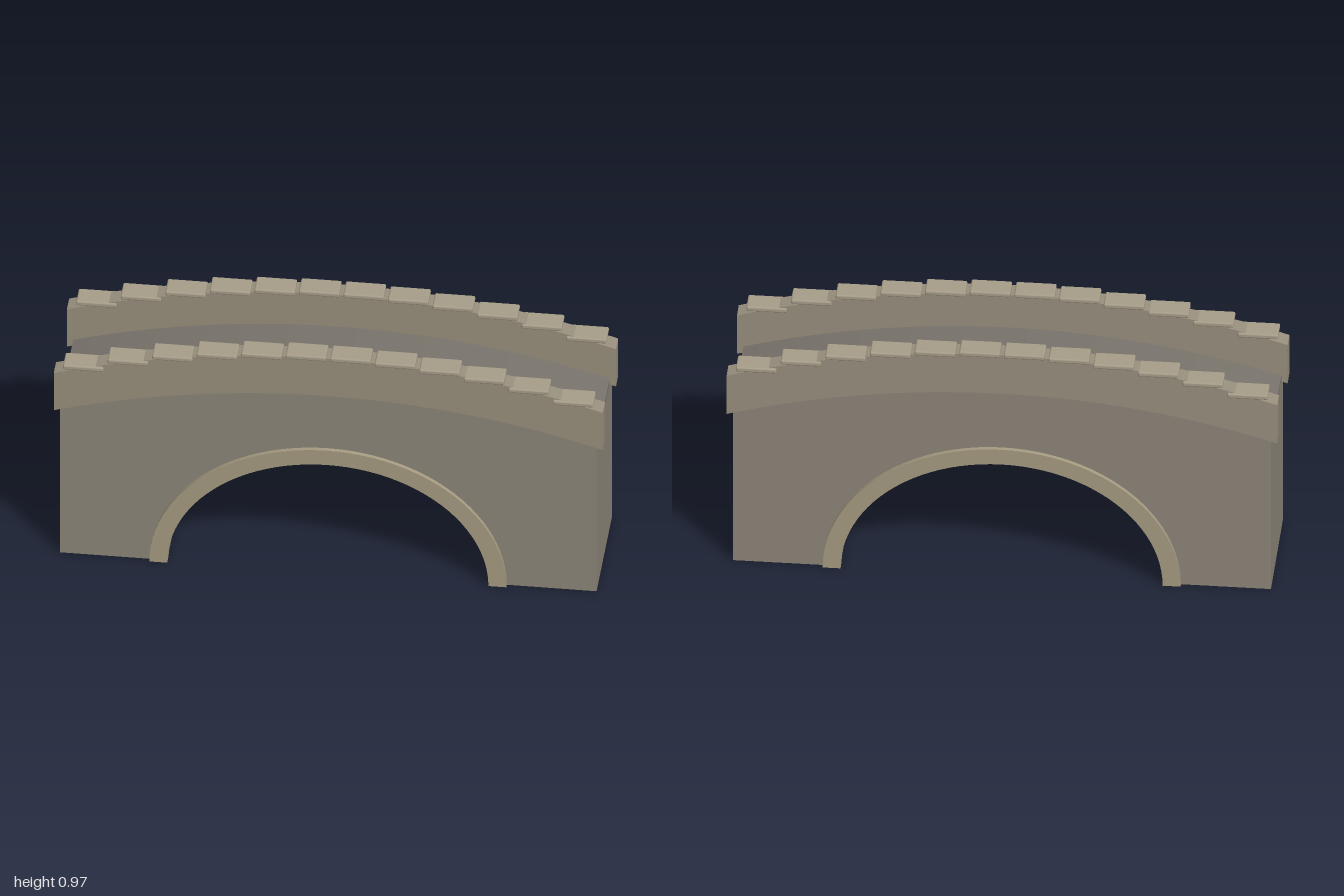
import * as THREE from 'three';
import { RoundedBoxGeometry } from 'three/addons/geometries/RoundedBoxGeometry.js';

const material = (color) => new THREE.MeshStandardMaterial({ color });
const stone = material(0x8c8578);
const parapetStone = material(0x988f7d);
const ringStone = material(0xa69b81);
const copingStone = material(0xa69d89);
const paving = material(0x77726a);

// Height of a shallow circular rise with its crown at x = 0
const RADIUS = 3.35;
const rise = (x, crown) => crown - RADIUS + Math.sqrt(RADIUS * RADIUS - x * x);

// Points along the rise, from x0 to x1
function risePoints(x0, x1, crown, n = 32) {
  return Array.from({ length: n + 1 }, (_, i) => {
    const x = x0 + ((x1 - x0) * i) / n;
    return new THREE.Vector2(x, rise(x, crown));
  });
}

// Points over the half ellipse of the arch, from +x to -x
function archPoints(rx, ry, n = 48) {
  return Array.from({ length: n + 1 }, (_, i) => {
    const a = (Math.PI * i) / n;
    return new THREE.Vector2(rx * Math.cos(a), ry * Math.sin(a));
  });
}

// Extrude an outline between two z values
function slab(name, points, z0, z1, mat) {
  const geometry = new THREE.ExtrudeGeometry(new THREE.Shape(points), { depth: z1 - z0, bevelEnabled: false });
  geometry.translate(0, 0, z0);
  const mesh = new THREE.Mesh(geometry, mat);
  mesh.name = name;
  return mesh;
}

// Band that follows the rise, with upper and lower crowns
const band = (half, top, bottom) => [
  ...risePoints(-half, half, bottom),
  ...risePoints(half, -half, top),
];

export function createModel() {
  const bridge = new THREE.Group();
  bridge.name = 'bridge';
  const half = 0.977;

  // Solid body with the arch cut through
  bridge.add(slab('body', [
    new THREE.Vector2(-half, 0),
    ...archPoints(0.587, 0.493).reverse(),
    new THREE.Vector2(half, 0),
    ...risePoints(half, -half, 0.8),
  ], -0.227, 0.227, stone));

  // Roadway
  bridge.add(slab('deck', band(half, 0.816, 0.798), -0.165, 0.165, paving));

  for (const side of [1, -1]) {
    const sideName = side > 0 ? 'front' : 'back';
    const between = (a, b) => (side > 0 ? [a, b] : [-b, -a]);

    // Parapet wall
    bridge.add(slab(sideName + 'Parapet', band(1, 0.957, 0.79), ...between(0.162, 0.2285), parapetStone));

    // Raised ring around the arch opening
    bridge.add(slab(sideName + 'ArchRing', [
      ...archPoints(0.65, 0.555),
      ...archPoints(0.585, 0.491).reverse(),
    ], ...between(0.2, 0.243), ringStone));

    // Level coping stones stepping over the parapet
    const coping = new THREE.Group();
    coping.name = sideName + 'Coping';
    const block = new RoundedBoxGeometry(0.147, 0.019, 0.083, 2, 0.006);
    for (let i = 0; i < 12; i++) {
      const x = (i - 5.5) * 0.1622;
      const mesh = new THREE.Mesh(block, copingStone);
      mesh.name = 'copingStone';
      mesh.position.set(x, rise(x, 0.9595), side * 0.1965);
      coping.add(mesh);
    }
    bridge.add(coping);
  }
  return bridge;
}
